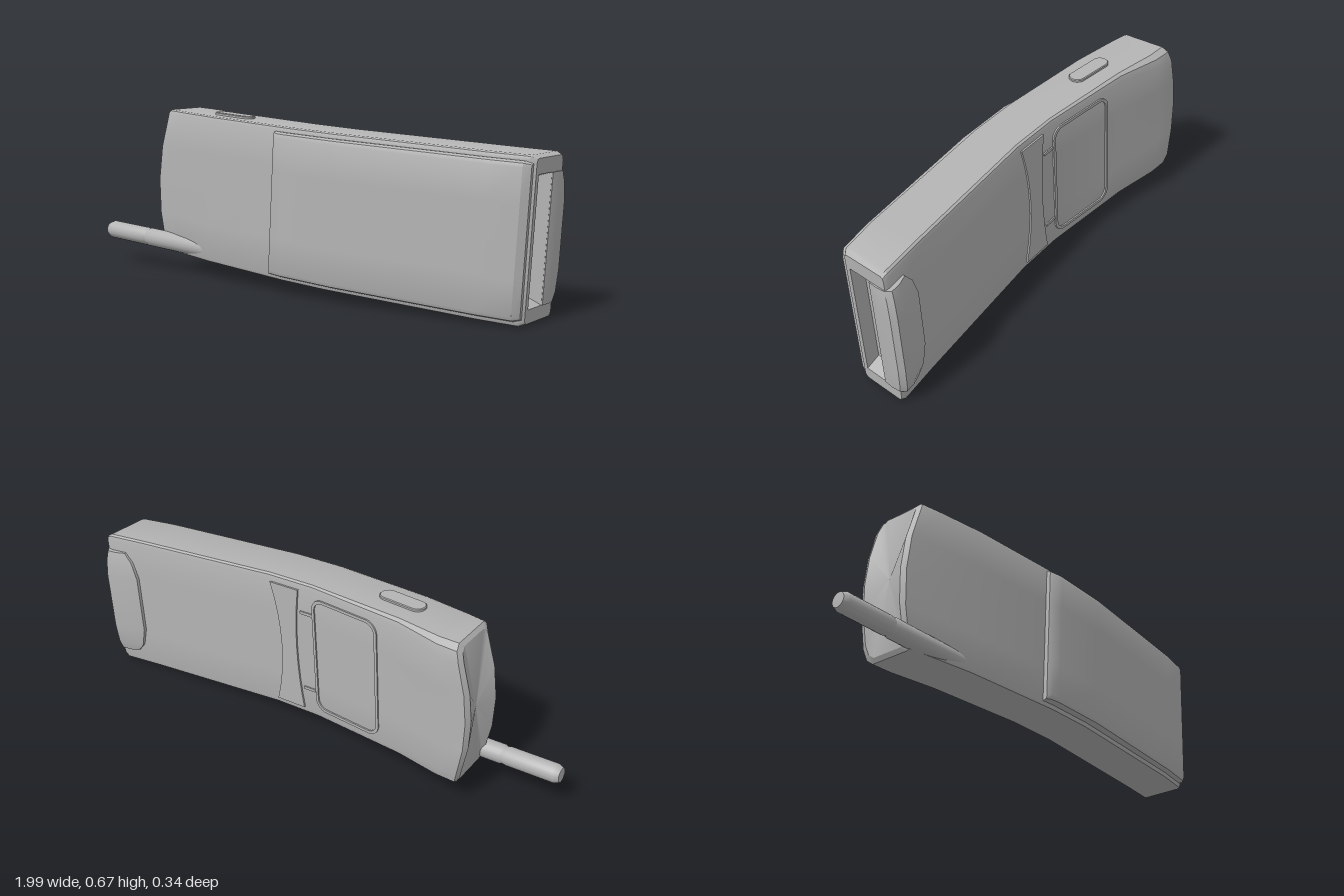
import * as THREE from 'three';
import { toCreasedNormals } from 'three/addons/utils/BufferGeometryUtils.js';

const grey = new THREE.MeshStandardMaterial({ color: 0xb4b4b4 });
grey.name = 'casingGrey';

// Closed skin over rings of [x, y, z], running counter-clockwise seen from the far end
function loft(rings, capStart = true, capEnd = true) {
  const n = rings[0].length, pos = rings.flat(2), idx = [];
  for (let i = 0; i < rings.length - 1; i++) {
    for (let j = 0; j < n; j++) {
      const a = i * n + j, b = i * n + (j + 1) % n;
      idx.push(a, b, a + n, b, b + n, a + n);
    }
  }
  const cap = (i, flip) => {
    const c = pos.length / 3;
    for (let k = 0; k < 3; k++) pos.push(rings[i].reduce((s, p) => s + p[k], 0) / n);
    for (let j = 0; j < n; j++) {
      const a = i * n + j, b = i * n + (j + 1) % n;
      idx.push(c, flip ? b : a, flip ? a : b);
    }
  };
  if (capStart) cap(0, true);
  if (capEnd) cap(rings.length - 1, false);
  const g = new THREE.BufferGeometry();
  g.setAttribute('position', new THREE.Float32BufferAttribute(pos, 3));
  g.setIndex(idx);
  return toCreasedNormals(g, 0.5);
}

// Chamfered cross-section at u; bow pushes its middle towards -x
function section(u, h, zf, zb, cf, cb, bow = 0) {
  const cz = cb * 0.6, f = h - cf, b = h - cb;
  const yz = [
    [h, zb + cz], [h, zf - cf], [h - cf * 0.3, zf - cf * 0.3],
    [f, zf], [f / 2, zf], [0, zf], [-f / 2, zf], [-f, zf],
    [-h + cf * 0.3, zf - cf * 0.3], [-h, zf - cf], [-h, zb + cz], [-h + cb * 0.3, zb + cz * 0.3],
    [-b, zb], [-b / 2, zb], [0, zb], [b / 2, zb], [b, zb], [h - cb * 0.3, zb + cz * 0.3],
  ];
  return yz.map(([y, z]) => [u - bow * (1 - (y / h) ** 2), y, z]);
}

// Leans the slotted end so it stays square to the curved body
function lean(g) {
  const p = g.attributes.position;
  for (let i = 0; i < p.count; i++) if (p.getX(i) > 0.9) p.setX(i, p.getX(i) - 0.07 * p.getZ(i));
  g.computeVertexNormals();
  return g;
}

// Height of the back surface along the body
const backLine = [[-0.58, -0.155], [-0.4, -0.108], [0, -0.065], [0.2, -0.065], [0.83, -0.122], [0.95, -0.138]];
function backZ(u) {
  let i = 0;
  while (i < backLine.length - 2 && u > backLine[i + 1][0]) i++;
  const [a, b] = [backLine[i], backLine[i + 1]];
  return a[1] + (b[1] - a[1]) * (u - a[0]) / (b[0] - a[0]);
}

// Thin plate that follows the back surface
function backPlate(shape, t) {
  const g = new THREE.ExtrudeGeometry(shape, { depth: t + 0.01, bevelEnabled: false, curveSegments: 8 });
  const p = g.attributes.position;
  for (let i = 0; i < p.count; i++) p.setZ(i, p.getZ(i) + backZ(p.getX(i)) - t);
  g.computeVertexNormals();
  return g;
}

function roundRect(x0, x1, y0, y1, r, Type = THREE.Shape) {
  const s = new Type();
  s.absarc(x1 - r, y1 - r, r, 0, Math.PI / 2);
  s.absarc(x0 + r, y1 - r, r, Math.PI / 2, Math.PI);
  s.absarc(x0 + r, y0 + r, r, Math.PI, Math.PI * 1.5);
  s.absarc(x1 - r, y0 + r, r, Math.PI * 1.5, Math.PI * 2);
  s.closePath();
  return s;
}

export function createModel() {
  const root = new THREE.Group();
  const phone = new THREE.Group();
  phone.name = 'handset';
  phone.position.y = 0.35;
  phone.rotation.z = -0.052;
  root.add(phone);
  const add = (name, geometry) => {
    const m = new THREE.Mesh(geometry, grey);
    m.name = name;
    phone.add(m);
    return m;
  };

  // Curved body, bowed at the earpiece end and open at the slotted end
  const rings = [
    section(-0.672, 0.28, 0.04, -0.14, 0.02, 0.05, 0.05),
    section(-0.66, 0.295, 0.058, -0.162, 0.015, 0.06, 0.05),
    section(-0.58, 0.295, 0.074, -0.155, 0.015, 0.055, 0.03),
    section(-0.4, 0.295, 0.103, -0.108, 0.015, 0.03),
    section(0, 0.295, 0.135, -0.065, 0.015, 0.02),
    section(0.2, 0.295, 0.135, -0.065, 0.015, 0.02),
    section(0.8, 0.295, 0.085, -0.12, 0.015, 0.02),
    section(0.95, 0.295, 0.062, -0.138, 0.015, 0.02),
    section(0.97, 0.285, 0.048, -0.135, 0.015, 0.02),
  ];
  add('body', toCreasedNormals(lean(loft(rings, true, false)), 0.5));

  // End face with a slot opening
  const endShape = new THREE.Shape(rings.at(-1).map(([, y, z]) => new THREE.Vector2(-z, y)));
  const slot = [[-0.03, -0.235], [0.062, -0.235], [0.062, 0.23], [-0.03, 0.23]];
  endShape.holes.push(new THREE.Path(slot.map(([x, y]) => new THREE.Vector2(x, y))));
  const end = new THREE.ShapeGeometry(endShape).rotateY(Math.PI / 2).translate(0.97, 0, 0);
  add('endFace', lean(end));

  // Tapered slot pocket, its walls facing inward
  const slotRing = (u, k) => slot.map(([x, y]) => [u, y * k, -(0.016 + (x - 0.016) * k)]);
  const pocket = loft([slotRing(0.97, 1), slotRing(0.915, 0.91)], false, true);
  add('endSlot', lean(pocket));

  // Raised flip cover on the front
  add('flipCover', loft([
    section(-0.055, 0.275, 0.148, 0.1, 0.012, 0.01),
    section(-0.04, 0.275, 0.158, 0.1, 0.02, 0.01),
    section(0, 0.275, 0.165, 0.1, 0.02, 0.01),
    section(0.24, 0.275, 0.163, 0.1, 0.02, 0.01),
    section(0.8, 0.275, 0.112, 0.06, 0.02, 0.01),
    section(0.935, 0.275, 0.09, 0.04, 0.02, 0.01),
    section(0.958, 0.268, 0.068, 0.03, 0.012, 0.01),
  ]));

  // Rounded latch wrapping the back edge of the slotted end, lofted across the body
  const latch = [[-0.235, 0.05, 0.016], [-0.2, 0.02, 0.006], [-0.12, 0, 0], [0.12, 0, 0], [0.19, 0.02, 0.006], [0.23, 0.05, 0.016]];
  add('latch', loft(latch.map(([v, inset, drop]) => [
    [0.94, -0.063], [0.978, -0.063], [0.99 - drop * 0.4, -0.1], [0.99 - drop * 0.5, -0.15 + drop],
    [0.975 - drop * 0.5, -0.17 + drop], [0.93, -0.168 + drop], [0.84 + inset, -0.138], [0.84 + inset, -0.11],
  ].map(([x, z]) => [x, v, z]).reverse()).map((r) => r.reverse())));

  // Waisted strip across the back
  const strip = new THREE.Shape();
  strip.moveTo(0.06, -0.265);
  strip.lineTo(0.19, -0.265);
  strip.quadraticCurveTo(0.115, 0, 0.19, 0.265);
  strip.lineTo(0.06, 0.265);
  strip.quadraticCurveTo(0.1, 0, 0.06, -0.265);
  add('backStrip', backPlate(strip, 0.007));

  // Rounded frame and its two catches on the back
  const frame = roundRect(-0.31, 0, -0.25, 0.25, 0.05);
  frame.holes.push(roundRect(-0.298, -0.012, -0.238, 0.238, 0.04, THREE.Path));
  add('backFrame', backPlate(frame, 0.006));
  for (const s of [-1, 1]) {
    add('frameCatch', backPlate(roundRect(0.002, 0.058, s * 0.17 - 0.006, s * 0.17 + 0.006, 0.004), 0.005));
  }

  // Side button on the upper edge
  const pill = new THREE.ExtrudeGeometry(roundRect(-0.095, 0.095, -0.03, 0.03, 0.029), {
    depth: 0.01, bevelEnabled: true, bevelSize: 0.003, bevelThickness: 0.003, bevelSegments: 1, curveSegments: 6,
  });
  const button = add('sideButton', pill.rotateX(-Math.PI / 2));
  button.position.set(-0.35, 0.292, 0.015);
  button.rotation.y = -0.11;

  // Antenna: socket sunk into the body, and a capped stub
  const turned = (pts) => toCreasedNormals(
    new THREE.LatheGeometry(pts.map(([r, y]) => new THREE.Vector2(r, y)), 20), 0.5).rotateZ(Math.PI / 2);
  const antenna = [
    ['antennaSocket', [[0, 0.4], [0.038, 0.4], [0.038, 0.75], [0.034, 0.76], [0, 0.76]]],
    ['antennaStub', [[0, 0.755], [0.033, 0.755], [0.037, 0.775], [0.037, 0.965], [0.028, 0.985], [0, 0.987]]],
  ];
  for (const [name, pts] of antenna) add(name, turned(pts)).position.set(0, -0.253, 0.06);

  return root;
}
